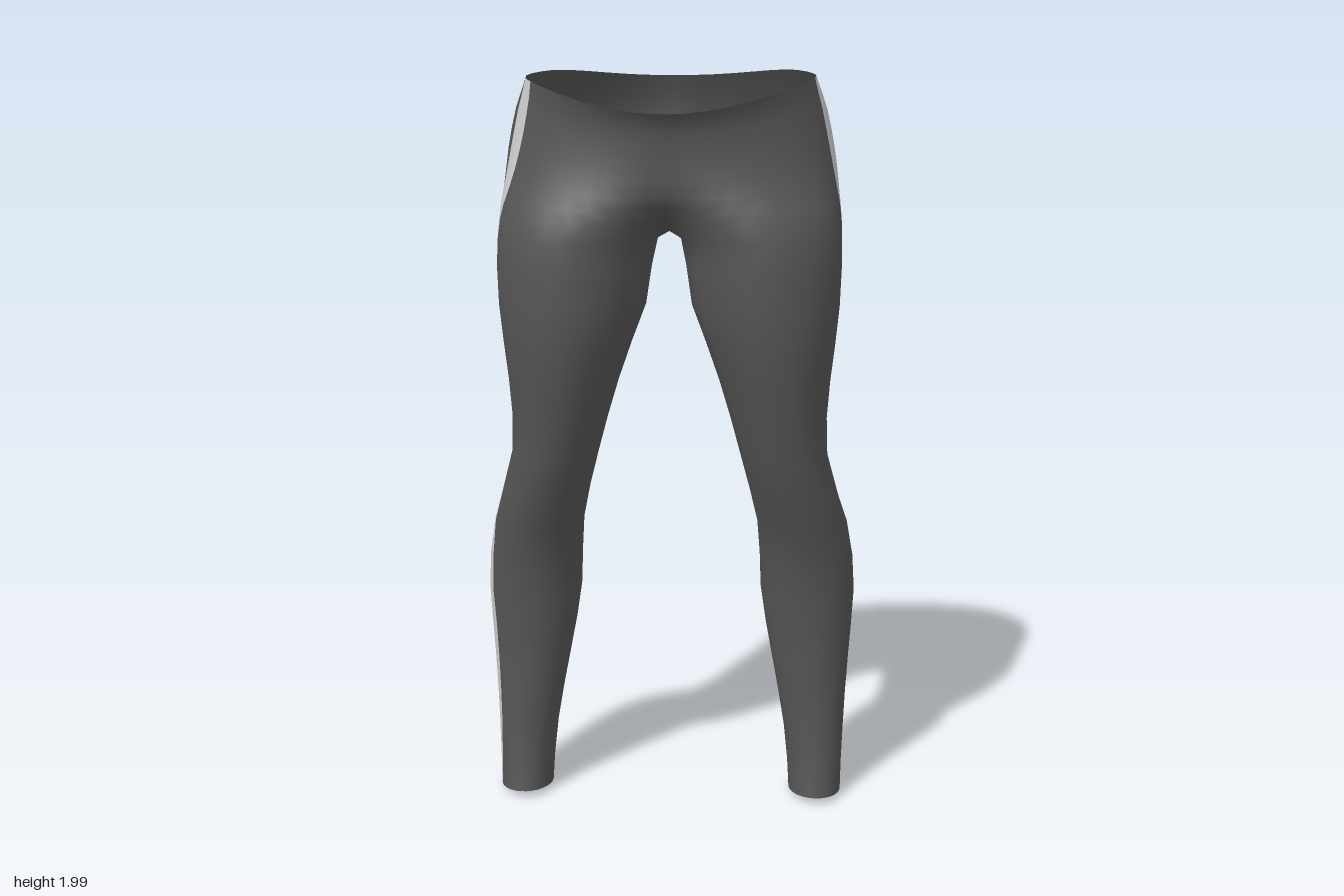
import * as THREE from 'three';
import { mergeVertices } from 'three/addons/utils/BufferGeometryUtils.js';

// Hip sections: height, outer x, front centre x, back centre x, front z, back z
const HIPS = [
  [1.98, 0.375, 0.0, 0.03, 0.27, -0.235],
  [1.94, 0.39, 0.0, 0.06, 0.256, -0.255],
  [1.9, 0.405, 0.0, 0.09, 0.248, -0.268],
  [1.85, 0.418, 0.02, 0.12, 0.244, -0.278],
  [1.8, 0.428, 0.05, 0.14, 0.243, -0.28],
  [1.75, 0.435, 0.08, 0.158, 0.246, -0.27],
  [1.7, 0.44, 0.125, 0.178, 0.254, -0.25],
  [1.66, 0.444, 0.17, 0.193, 0.264, -0.225],
  [1.62, 0.447, 0.205, 0.205, 0.272, -0.195],
];
// Leg sections: height, outer x, inner x, front z, back z
const LEGS = [
  [1.57, 0.449, 0.03, 0.278, -0.16],
  [1.5, 0.45, 0.045, 0.281, -0.128],
  [1.4, 0.446, 0.06, 0.282, -0.115],
  [1.3, 0.436, 0.098, 0.276, -0.105],
  [1.2, 0.425, 0.133, 0.257, -0.09],
  [1.1, 0.418, 0.163, 0.236, -0.075],
  [1.0, 0.422, 0.19, 0.215, -0.065],
  [0.9, 0.45, 0.216, 0.193, -0.08],
  [0.8, 0.482, 0.238, 0.155, -0.118],
  [0.7, 0.501, 0.246, 0.125, -0.14],
  [0.6, 0.508, 0.25, 0.11, -0.141],
  [0.5, 0.503, 0.265, 0.101, -0.131],
  [0.4, 0.496, 0.284, 0.098, -0.115],
  [0.3, 0.49, 0.303, 0.098, -0.098],
  [0.2, 0.486, 0.32, 0.1, -0.087],
  [0.1, 0.483, 0.331, 0.11, -0.085],
  [0.015, 0.481, 0.336, 0.125, -0.082],
];
// Side stripe: height, z on the left leg, half width
const STRIPE = [
  [2, 0.032, 0.025], [1.6, 0.03, 0.025], [1.4, 0.036, 0.025], [1.2, 0.03, 0.022],
  [1, 0.02, 0.02], [0.8, -0.005, 0.018], [0.6, -0.02, 0.018], [0.4, -0.015, 0.017],
  [0.2, -0.005, 0.013], [0, 0, 0.01],
];
const FRONT = 10, BAND = 2, BACK = 10, INNER = 10;
const OUTER = FRONT + BAND + BACK, LOOP = OUTER + INNER;
const CROTCH = HIPS.length - 1, CROTCH_Y = 1.62;
const { lerp } = THREE.MathUtils;

function stripeAt(y) {
  let i = 0;
  while (i < STRIPE.length - 2 && y < STRIPE[i + 1][0]) i++;
  const [a, b] = [STRIPE[i], STRIPE[i + 1]];
  const k = (a[0] - y) / (a[0] - b[0]);
  return [lerp(a[1], b[1], k), lerp(a[2], b[2], k)];
}

// Waistband height, low at the front and high at the back
const waistY = (z) => 1.983 - 0.13 * z - 3.2 * Math.max(0, z) ** 3 - 1.5 * Math.max(0, -z - 0.1) ** 2;

// One section of a half, going front centre, outer side, back, inner thigh
function section(row, side) {
  const isHip = row.length === 6;
  const [y, x1] = row;
  const [zf, zb] = row.slice(-2);
  const cF = isHip ? row[2] : (x1 + row[2]) / 2;
  const cB = isHip ? row[3] : cF;
  const zc = (zf + zb) / 2, rz = (zf - zb) / 2;
  const start = isHip ? -Math.asin(cF / (x1 - cF)) : -Math.PI / 3;
  const end = Math.PI + (isHip ? Math.asin(cB / (x1 - cB)) : Math.PI / 3);
  const [zs, w] = stripeAt(y);
  const mid = zs + (side < 0 ? 0.05 : 0);
  const s0 = Math.acos((mid + w - zc) / rz), s1 = Math.acos((mid - w - zc) / rz);
  const points = [];
  for (let j = 0; j < LOOP; j++) {
    let t;
    if (j <= FRONT) t = lerp(start, s0, j / FRONT);
    else if (j <= FRONT + BAND) t = lerp(s0, s1, (j - FRONT) / BAND);
    else if (j <= OUTER) t = lerp(s1, end, (j - FRONT - BAND) / BACK);
    else t = lerp(end, start + 2 * Math.PI, (j - OUTER) / INNER);
    const c = Math.cos(t) > 0 ? cF : cB;
    let x = c + (x1 - c) * Math.sin(t), z = zc + rz * Math.cos(t), py = y;
    if (isHip) {
      py = CROTCH_Y + (waistY(z) - CROTCH_Y) * (y - CROTCH_Y) / (1.98 - CROTCH_Y);
      if (j === 0 || j === OUTER) x = 0;
      if (j > OUTER) {
        // Gusset curve between the legs
        const k = (j - OUTER) / INNER;
        x = 0;
        py = y - 0.14 * k * (1 - k);
      }
    } else if (y < 0.05) py = 0.008 + 0.1 * (z - zb); // slanted ankle hem
    points.push([x * side, py, z]);
  }
  return points;
}

export function createModel() {
  const fabric = new THREE.MeshStandardMaterial({ color: 0x555555, side: THREE.DoubleSide });
  fabric.name = 'charcoal fabric';
  const trim = new THREE.MeshStandardMaterial({ color: 0xcccccc, side: THREE.DoubleSide });
  trim.name = 'light grey stripe';

  const rows = [...HIPS, ...LEGS];
  const positions = [], cloth = [], stripes = { 1: [], '-1': [] };
  for (const side of [1, -1]) {
    const base = positions.length / 3;
    rows.forEach((row) => section(row, side).forEach((p) => positions.push(...p)));
    for (let r = 0; r < rows.length - 1; r++) {
      const columns = r < CROTCH ? OUTER : LOOP;
      for (let j = 0; j < columns; j++) {
        const a = base + r * LOOP + j, b = base + r * LOOP + (j + 1) % LOOP;
        const d = a + LOOP, e = b + LOOP;
        const target = j >= FRONT && j < FRONT + BAND ? stripes[side] : cloth;
        if (side > 0) target.push(a, d, b, b, d, e);
        else target.push(a, b, d, b, e, d);
      }
    }
  }

  // Weld the centre seam so that shading runs smoothly across both halves
  let whole = new THREE.BufferGeometry();
  whole.setAttribute('position', new THREE.Float32BufferAttribute(positions, 3));
  whole.setIndex([...cloth, ...stripes[1], ...stripes[-1]]);
  whole = mergeVertices(whole, 1e-4);
  whole.computeVertexNormals();
  const index = Array.from(whole.index.array);

  const group = new THREE.Group();
  group.name = 'leggings';
  let from = 0;
  const addPart = (name, count, material) => {
    const geometry = new THREE.BufferGeometry();
    geometry.setAttribute('position', whole.attributes.position);
    geometry.setAttribute('normal', whole.attributes.normal);
    geometry.setIndex(index.slice(from, from + count));
    from += count;
    const mesh = new THREE.Mesh(geometry, material);
    mesh.name = name;
    group.add(mesh);
  };
  addPart('leggingsFabric', cloth.length, fabric);
  addPart('leftStripe', stripes[1].length, trim);
  addPart('rightStripe', stripes[-1].length, trim);
  return group;
}
